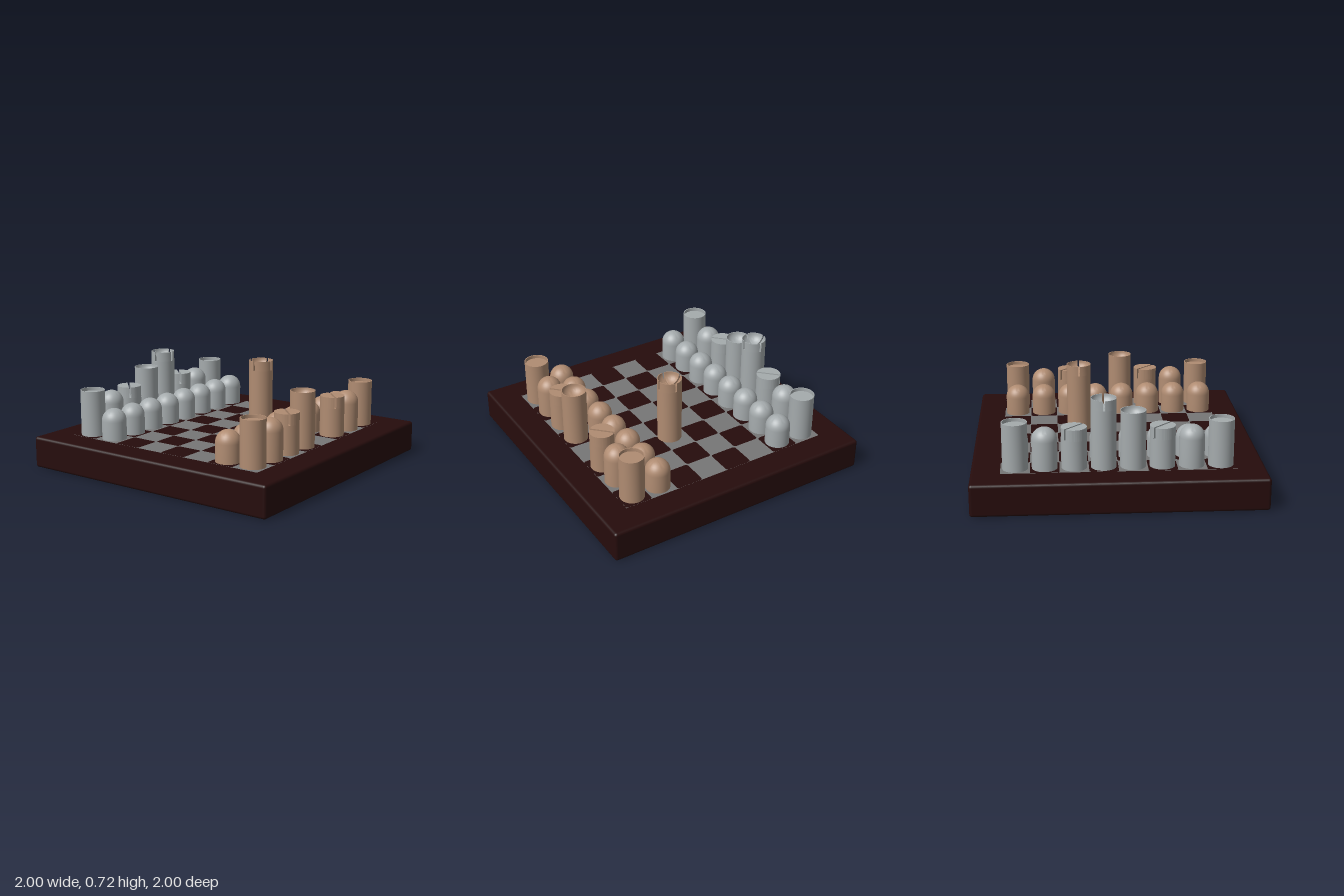
import * as THREE from 'three';
import { RoundedBoxGeometry } from 'three/addons/geometries/RoundedBoxGeometry.js';
import { mergeGeometries, toCreasedNormals } from 'three/addons/utils/BufferGeometryUtils.js';

const TOP = 0.23;   // playing surface
const CELL = 0.2;
const R = 0.0875;   // piece radius
const SLOT = 0.007; // half width of the saw cuts
const SIDES = 40;

const mat = (name, color, side = THREE.FrontSide) => {
  const m = new THREE.MeshStandardMaterial({ color, side });
  m.name = name;
  return m;
};
const crease = (g) => toCreasedNormals(g, 0.6);
const v2 = (pts) => pts.map(([x, y]) => new THREE.Vector2(x, y));
const lathe = (pts, ...arc) => crease(new THREE.LatheGeometry(v2(pts), SIDES, ...arc));

// quarter ellipse, from the rim to the axis
const curve = (r, y, h, n = 10) =>
  Array.from({ length: n + 1 }, (_, i) => {
    const t = (i / n) * Math.PI / 2;
    return [i === n ? 0 : r * Math.cos(t), y + h * Math.sin(t)];
  });

// round-headed piece
const domed = (top) => lathe([[0, TOP], [R, TOP], ...curve(R, top - R, R)]);

// shallow recess with a thin rim
const recessed = (top) =>
  lathe([[0, TOP], [R, TOP], [R, top], [R - 0.006, top], [R - 0.006, top - 0.025], [0, top - 0.025]]);

// hollowed bowl in the head
const bowled = (top) => lathe([[0, TOP], [R, TOP], [R, top], ...curve(R - 0.005, top, -0.07)]);

// flat head with one diagonal cut
function slotted(top) {
  const cut = 0.08;
  const parts = [lathe([[0, TOP], [R, TOP], [R, top - cut], [0, top - cut]])];
  const d = Math.asin(SLOT / R);
  for (const a of [Math.PI / 4, Math.PI * 5 / 4]) {
    const s = new THREE.Shape();
    s.absarc(0, 0, R, a + d, a + Math.PI - d, false);
    s.closePath();
    const g = new THREE.ExtrudeGeometry(s, { depth: cut, bevelEnabled: false, curveSegments: 20 });
    g.rotateX(-Math.PI / 2).translate(0, top - cut, 0);
    parts.push(crease(g));
  }
  return mergeGeometries(parts);
}

// bowled head split into four prongs by crossed cuts
function crowned(top) {
  const base = top - 0.07;
  const profile = [[R, base], [R, top], ...curve(R - 0.005, top, -0.07)];
  const parts = [lathe([[0, TOP], [R, TOP], [R, base], [0, base]])];
  const prong = new THREE.LatheGeometry(v2(profile), 10, 0, Math.PI / 2);
  const p = prong.attributes.position;
  for (let i = 0; i < p.count; i++) {
    p.setX(i, Math.max(p.getX(i), SLOT));
    p.setZ(i, Math.max(p.getZ(i), SLOT));
  }
  const wall = () => new THREE.ShapeGeometry(
    new THREE.Shape(v2(profile.map(([x, y]) => [Math.max(x, SLOT), y]))));
  const quarter = mergeGeometries([
    crease(prong),
    wall().translate(0, 0, SLOT).toNonIndexed(),
    wall().rotateY(-Math.PI / 2).translate(SLOT, 0, 0).toNonIndexed(),
  ]);
  for (let k = 0; k < 4; k++) parts.push(quarter.clone().rotateY(k * Math.PI / 2));
  return mergeGeometries(parts);
}

// flat square with rounded corners, facing up
function tileGeometry(size, r) {
  const h = size / 2, c = h - r, s = new THREE.Shape();
  [[c, c], [-c, c], [-c, -c], [c, -c]].forEach(([x, y], i) =>
    s.absarc(x, y, r, i * Math.PI / 2, (i + 1) * Math.PI / 2, false));
  return new THREE.ShapeGeometry(s, 4).rotateX(-Math.PI / 2);
}

export function createModel() {
  const root = new THREE.Group();
  root.name = 'chessSet';
  const wood = mat('darkWood', 0x260c0c);
  const grey = mat('greySquare', 0x777777);
  const tan = mat('copper', 0xb08c72, THREE.DoubleSide);
  const silver = mat('silver', 0xa5abad, THREE.DoubleSide);

  const add = (name, geometry, material, x = 0, y = 0, z = 0, parent = root) => {
    const m = new THREE.Mesh(geometry, material);
    m.name = name;
    m.position.set(x, y, z);
    parent.add(m);
    return m;
  };

  // board
  add('board', new RoundedBoxGeometry(2, TOP - 0.004, 2, 3, 0.02), wood, 0, TOP / 2, 0);

  // checker pattern on both faces: grey sheet with dark rounded squares
  const sheet = tileGeometry(CELL * 8, 0.002);
  const square = tileGeometry(CELL, 0.018);
  for (const under of [false, true]) {
    const face = new THREE.Group();
    face.name = under ? 'underPattern' : 'topPattern';
    root.add(face);
    add('greySheet', sheet, grey, 0, TOP / 2 - 0.001, 0, face);
    for (let i = 0; i < 8; i++)
      for (let j = 0; j < 8; j++)
        if ((i + j) % 2 === 0)
          add('darkSquare', square, wood, (i - 3.5) * CELL, TOP / 2, (j - 3.5) * CELL, face);
    face.position.y = TOP / 2;
    if (under) face.rotation.z = Math.PI;
  }

  // pieces
  const kinds = {
    rook: recessed(0.56), knight: domed(0.52), bishop: slotted(0.52),
    queen: bowled(0.63), king: crowned(0.72), pawn: domed(0.45),
  };
  const order = ['rook', 'knight', 'bishop', 'queen', 'king', 'bishop', 'knight', 'rook'];
  for (const [side, material, dir] of [['silver', silver, -1], ['copper', tan, 1]]) {
    const army = new THREE.Group();
    army.name = side + 'Pieces';
    root.add(army);
    order.forEach((kind, i) => {
      const x = (i - 3.5) * CELL;
      const moved = kind === 'king' && dir === 1; // advanced king
      add(kind, kinds[kind], material, moved ? 0.24 : x, 0, moved ? 0.12 : dir * 0.7, army);
      add('pawn', kinds.pawn, material, x, 0, dir * 0.5, army);
    });
  }
  return root;
}
